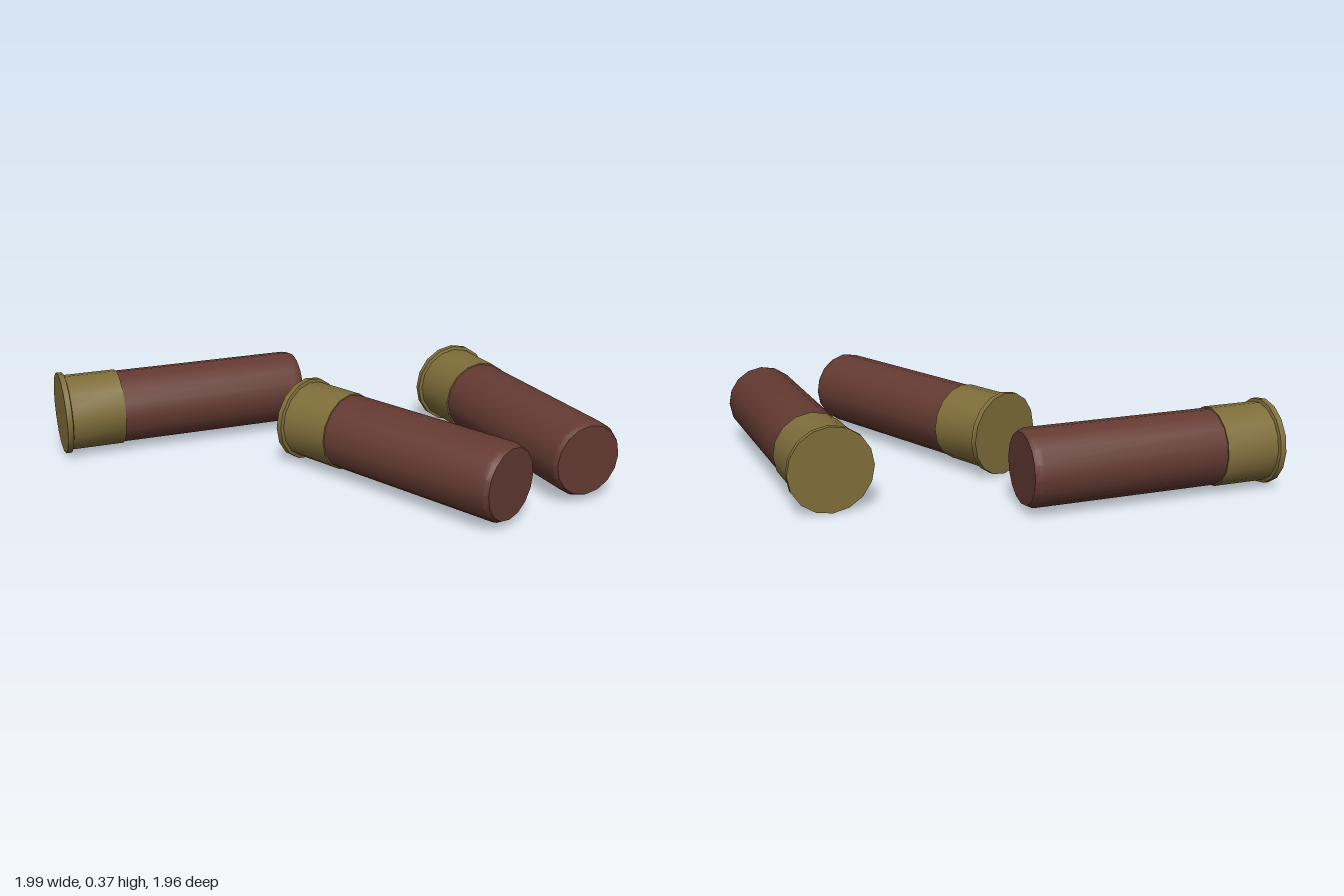
import * as THREE from 'three';
import { toCreasedNormals } from 'three/addons/utils/BufferGeometryUtils.js';

const SIDES = 16;
const RIM_RADIUS = 0.185;

// Turned part lying along +x, from [radius, distance along axis] pairs
function turned(profile) {
  const points = profile.map(([r, d]) => new THREE.Vector2(r, d));
  const geometry = new THREE.LatheGeometry(points, SIDES);
  geometry.rotateZ(-Math.PI / 2);
  return toCreasedNormals(geometry, Math.PI / 7);
}

export function createModel() {
  const brass = new THREE.MeshStandardMaterial({ color: 0x7f6d3a });
  brass.name = 'brass';
  const redPlastic = new THREE.MeshStandardMaterial({ color: 0x643a32 });
  redPlastic.name = 'red plastic';

  // Brass head: flat base, flanged rim, sleeve and its front lip
  const headGeometry = turned([
    [0, 0], [RIM_RADIUS, 0], [RIM_RADIUS, 0.025],
    [0.171, 0.029], [0.171, 0.265], [0.16, 0.265],
  ]);
  // Plastic tube with a small bevel at the closed end
  const tubeGeometry = turned([
    [0.165, 0.255], [0.165, 1.08], [0.162, 1.1], [0.152, 1.118], [0, 1.118],
  ]);

  // Base centre x, z and heading in degrees of each cartridge
  const placements = [
    ['leftCartridge', -0.82, 0.928, 75.5],
    ['frontCartridge', -0.13, 0.05, 11.9],
    ['backCartridge', -0.135, -0.805, -10],
  ];

  const model = new THREE.Group();
  model.name = 'cartridges';
  for (const [name, x, z, heading] of placements) {
    const cartridge = new THREE.Group();
    cartridge.name = name;
    const head = new THREE.Mesh(headGeometry, brass);
    head.name = 'brassHead';
    const tube = new THREE.Mesh(tubeGeometry, redPlastic);
    tube.name = 'plasticTube';
    cartridge.add(head, tube);
    cartridge.position.set(x, RIM_RADIUS, z);
    cartridge.rotation.y = THREE.MathUtils.degToRad(heading);
    model.add(cartridge);
  }
  return model;
}
